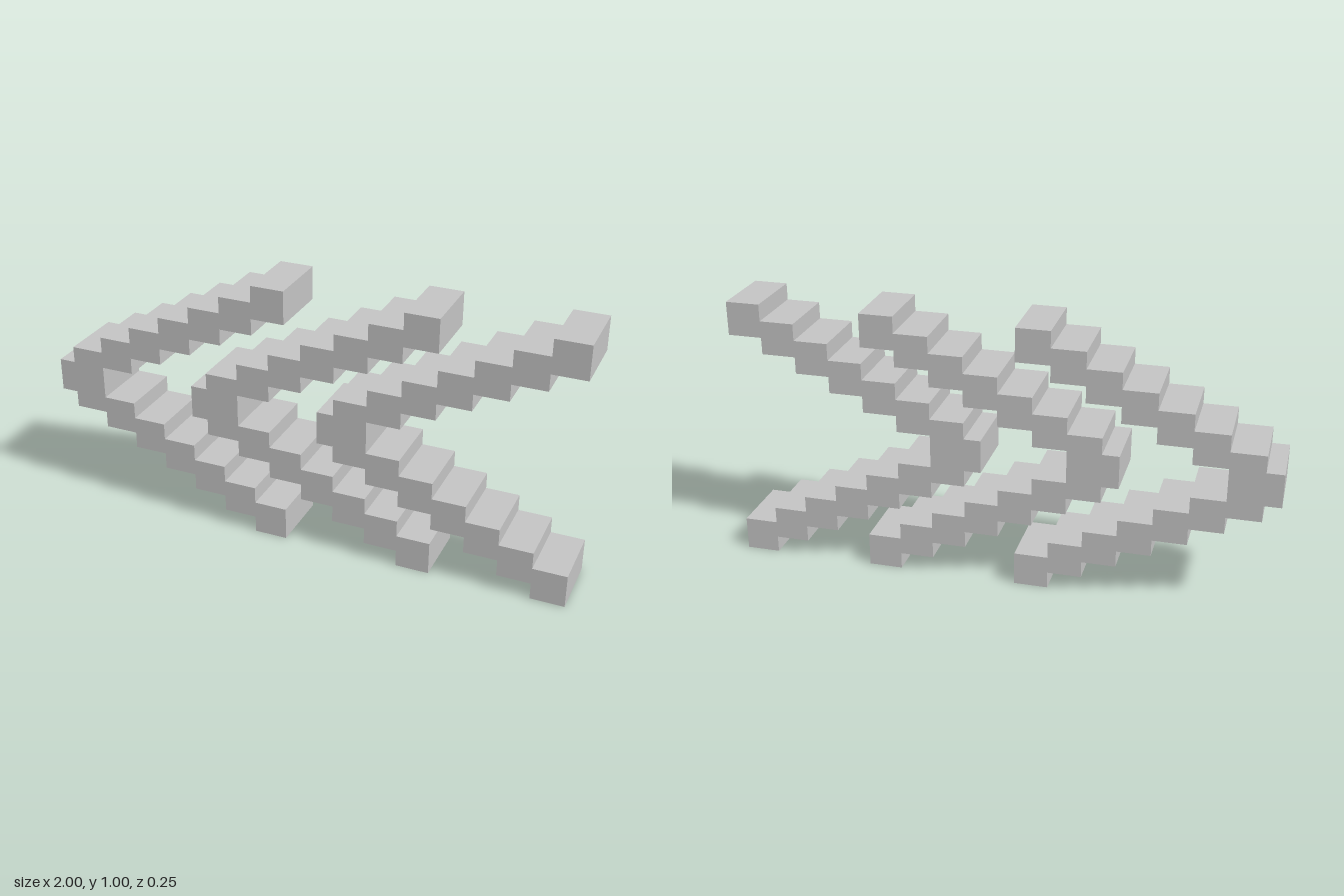
import * as THREE from 'three';

const U = 1 / 16; // one stair step

// Stepped arrow outline pointing to -x, in step units, mirrored about y = 8
function chevronShape() {
  const upper = [];
  // outer staircase, from the tip up to the end of the arm
  for (let i = 0; i <= 6; i++) {
    upper.push([Math.max(0, 2 * i - 1), 9 + i], [2 * i + 1, 9 + i]);
  }
  // square end of the arm
  upper.push([13, 16], [15, 16], [15, 14]);
  // inner staircase, back down to the notch
  for (let k = 4; k >= 0; k--) {
    upper.push([5 + 2 * k, 10 + k], [5 + 2 * k, 9 + k]);
  }
  upper.push([3, 9]);
  const lower = upper.map(([x, y]) => [x, 16 - y]).reverse();
  return new THREE.Shape(
    [...upper, ...lower].map(([x, y]) => new THREE.Vector2(x * U, y * U))
  );
}

export function createModel() {
  const group = new THREE.Group();
  group.name = 'steppedChevrons';
  const grey = new THREE.MeshStandardMaterial({ color: 0xc4c4c4 });
  grey.name = 'lightGrey';

  const geometry = new THREE.ExtrudeGeometry(chevronShape(), {
    depth: 4 * U,
    bevelEnabled: false,
  });
  geometry.translate(0, 0, -2 * U);

  // three chevrons; the first gap is one step wider
  const tips = { firstChevron: -16, middleChevron: -7, lastChevron: 1 };
  for (const [name, tip] of Object.entries(tips)) {
    const chevron = new THREE.Mesh(geometry, grey);
    chevron.name = name;
    chevron.position.x = tip * U;
    group.add(chevron);
  }
  return group;
}
